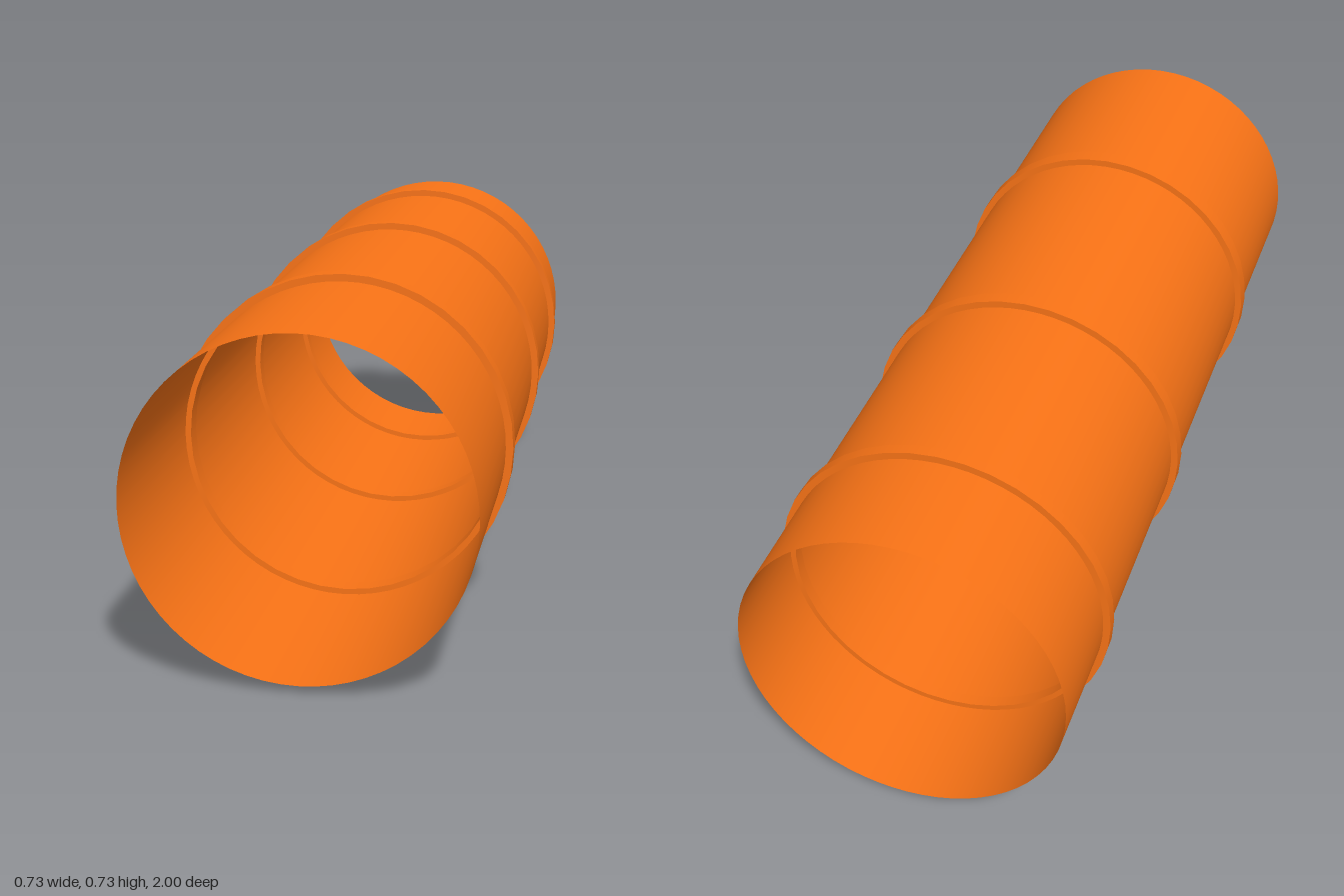
import * as THREE from 'three';
import { mergeGeometries } from 'three/addons/utils/BufferGeometryUtils.js';

const OUTER = 0.366, INNER = 0.338, TUBE = 0.35;

// Rectangular-section band around z, one lathed strip per side so edges stay sharp
function bandGeometry(width) {
  const h = width / 2;
  const corners = [[INNER, -h], [OUTER, -h], [OUTER, h], [INNER, h]]
    .map(([r, y]) => new THREE.Vector2(r, y));
  const sides = corners.map((p, i) => new THREE.LatheGeometry([p, corners[(i + 1) % 4]], 40));
  return mergeGeometries(sides).rotateX(Math.PI / 2);
}

export function createModel() {
  const group = new THREE.Group();
  group.name = 'bandedTube';
  const material = new THREE.MeshStandardMaterial({ color: 0xf97316, side: THREE.DoubleSide });

  // Thin open tube lying along z
  const tube = new THREE.Mesh(
    new THREE.CylinderGeometry(TUBE, TUBE, 2, 64, 1, true).rotateX(Math.PI / 2), material);
  tube.name = 'tubeWall';
  tube.position.y = OUTER;
  group.add(tube);

  // Three bands, narrowing toward the back: [name, z, width]
  const bands = [['frontBand', 0.485, 0.042], ['middleBand', -0.171, 0.034], ['backBand', -0.728, 0.027]];
  for (const [name, z, width] of bands) {
    const band = new THREE.Mesh(bandGeometry(width), material);
    band.name = name;
    band.position.set(0, OUTER, z);
    group.add(band);
  }
  return group;
}
